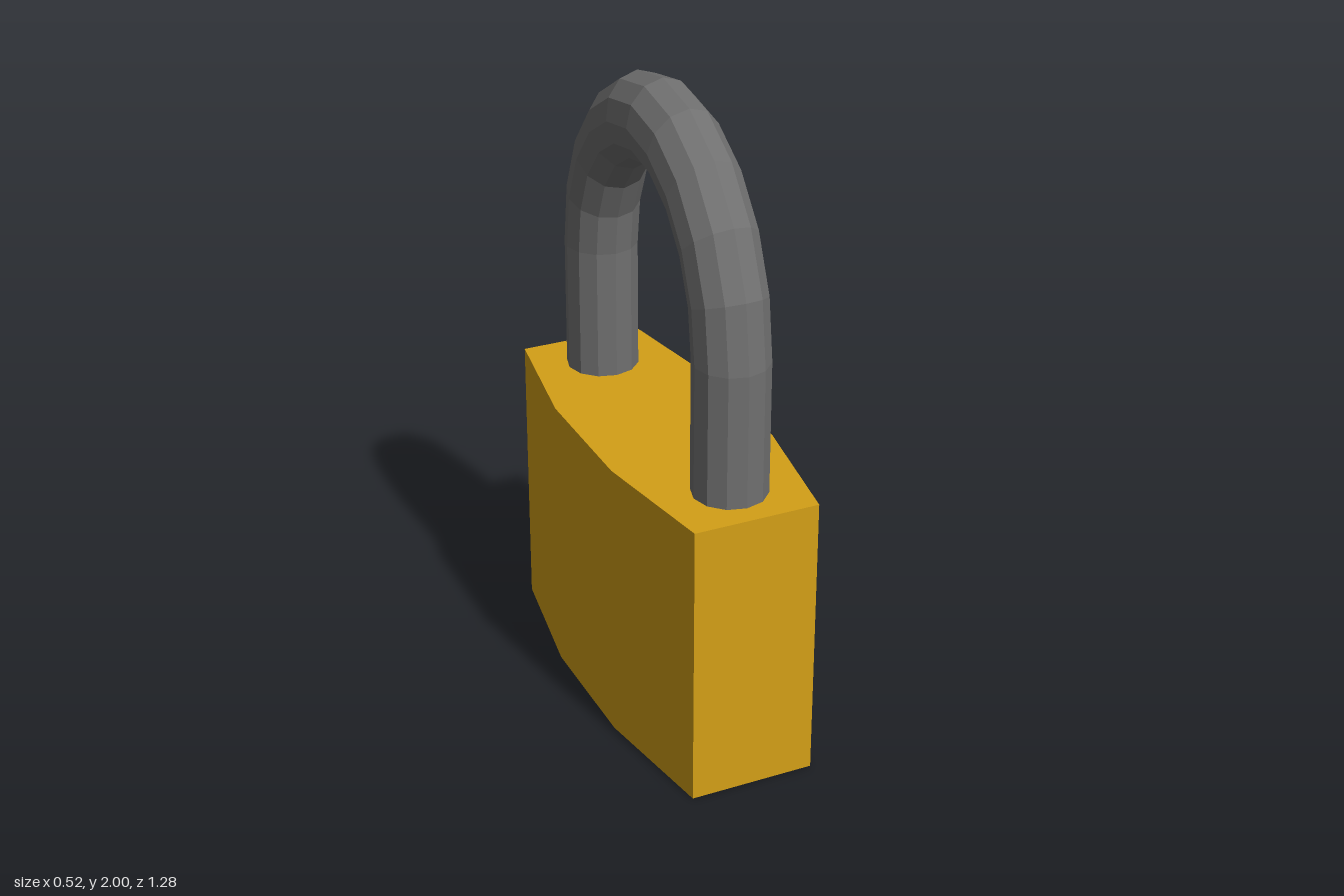
import * as THREE from 'three';

export function createModel() {
  const group = new THREE.Group();
  const brass = new THREE.MeshStandardMaterial({ color: 0xd4a017, flatShading: true });
  const steel = new THREE.MeshStandardMaterial({ color: 0x707070, flatShading: true });
  const add = (name, geometry, material, parent = group) => {
    const mesh = new THREE.Mesh(geometry, material);
    mesh.name = name;
    parent.add(mesh);
    return mesh;
  };

  // Body: eight-sided outline, widest in the middle, extruded upward
  const bodyHeight = 0.905;
  const outline = [
    [0.195, -0.64], [0.2625, -0.215], [0.2625, 0.215], [0.195, 0.64],
    [-0.195, 0.64], [-0.2625, 0.215], [-0.2625, -0.215], [-0.195, -0.64],
  ].map(([x, z]) => new THREE.Vector2(x, z));
  const body = new THREE.ExtrudeGeometry(new THREE.Shape(outline), { depth: bodyHeight, bevelEnabled: false });
  body.rotateX(-Math.PI / 2);
  add('body', body, brass);

  // Shackle: a vertically stretched half ring on two straight legs
  const shackle = new THREE.Group();
  shackle.name = 'shackle';
  group.add(shackle);
  const spread = 0.46, radius = 0.114, sides = 12, legTop = 1.32, legBottom = 0.85;

  const bow = new THREE.TorusGeometry(spread, radius, sides, 10, Math.PI);
  bow.scale(1, (2 - legTop) / (spread + radius), 1);
  bow.rotateY(Math.PI / 2);
  bow.translate(0, legTop, 0);
  add('shackleBow', bow, steel, shackle);

  for (const [name, side] of [['frontLeg', 1], ['backLeg', -1]]) {
    const leg = new THREE.CylinderGeometry(radius, radius, legTop - legBottom, sides, 1);
    leg.translate(0, (legTop + legBottom) / 2, side * spread);
    add(name, leg, steel, shackle);
  }
  return group;
}
